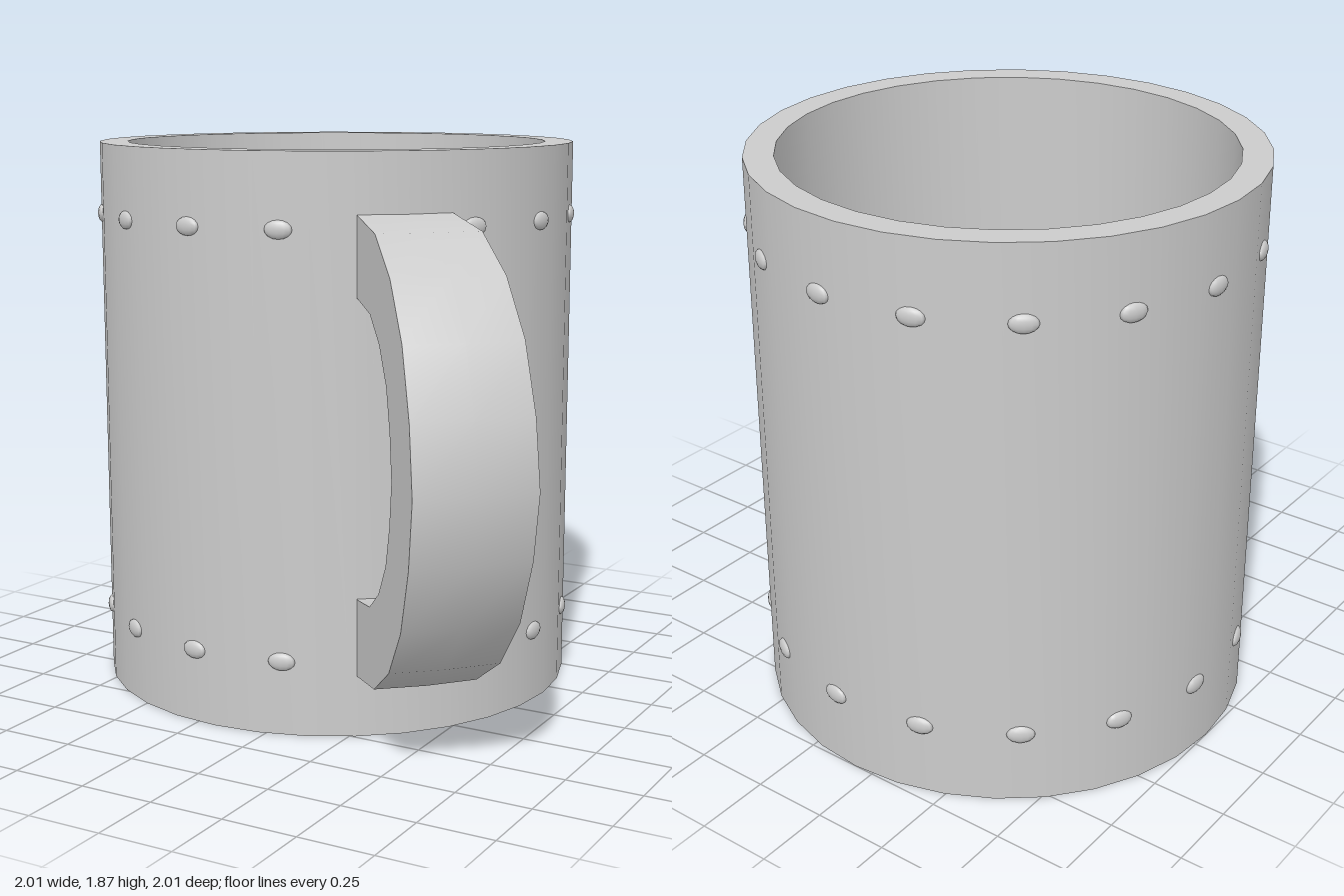
import * as THREE from 'three';
import { toCreasedNormals } from 'three/addons/utils/BufferGeometryUtils.js';

const CENTER = -0.185, RADIUS = 0.815, HEIGHT = 1.87, SIDES = 32;
const vec = ([x, y]) => new THREE.Vector2(x, y);

export function createModel() {
  const mug = new THREE.Group();
  mug.name = 'mug';
  mug.position.set(CENTER, 0, CENTER);
  const material = new THREE.MeshStandardMaterial({ color: 0xcccccc });
  const add = (name, geometry) => {
    const mesh = new THREE.Mesh(geometry, material);
    mesh.name = name;
    mug.add(mesh);
    return mesh;
  };

  // Hollow cup with a thin foot ring around a recessed base
  const profile = [
    [0, 0.02], [0.785, 0.02], [0.785, 0], [RADIUS, 0],
    [RADIUS, HEIGHT], [0.72, HEIGHT], [0.72, 0.1], [0, 0.1],
  ].map(vec);
  add('cup', toCreasedNormals(new THREE.LatheGeometry(profile, SIDES), 0.5));

  // Handle: upper half of the outline, mirrored about its middle height
  const midY = 0.94;
  const outer = [[0.78, 0.74], [1.035, 0.7], [1.22, 0.587], [1.36, 0.42], [1.445, 0.21], [1.482, 0]];
  const inner = [[0.78, 0.482], [0.814, 0.48], [0.973, 0.455], [1.09, 0.38], [1.178, 0.27], [1.222, 0.14], [1.245, 0]];
  const fullArc = (half) => [...half, ...half.slice(0, -1).reverse().map(([x, y]) => [x, -y])];
  const outline = [...fullArc(outer), ...fullArc(inner).reverse()];
  const handleGeometry = new THREE.ExtrudeGeometry(new THREE.Shape(outline.map(vec)), {
    depth: 2, steps: 2, bevelEnabled: false,
  });
  handleGeometry.translate(0, midY, -1);

  // The handle widens outward and its outer face bows slightly around the cup
  const p = handleGeometry.attributes.position;
  for (let i = 0; i < p.count; i++) {
    const u = p.getX(i), v = p.getZ(i);
    p.setX(i, u + 0.012 * (1 - v * v));
    p.setZ(i, v * (0.155 + (u - 0.8) * 0.051));
  }
  add('handle', toCreasedNormals(handleGeometry, 0.65)).rotation.y = -Math.PI / 4;

  // Two rings of flattened rivets, one on every second facet
  const rivetGeometry = new THREE.SphereGeometry(1, 12, 8).scale(0.045, 0.03, 0.016);
  const apothem = RADIUS * Math.cos(Math.PI / SIDES);
  for (const [ring, y] of [['lowerRivet', 0.245], ['upperRivet', 1.63]]) {
    for (let i = 0; i < SIDES / 2; i++) {
      const angle = (2 * i - 0.5) * (2 * Math.PI / SIDES);
      const rivet = add(ring, rivetGeometry);
      rivet.position.set(apothem * Math.sin(angle), y, apothem * Math.cos(angle));
      rivet.rotation.y = angle;
    }
  }

  const model = new THREE.Group();
  model.add(mug);
  return model;
}
